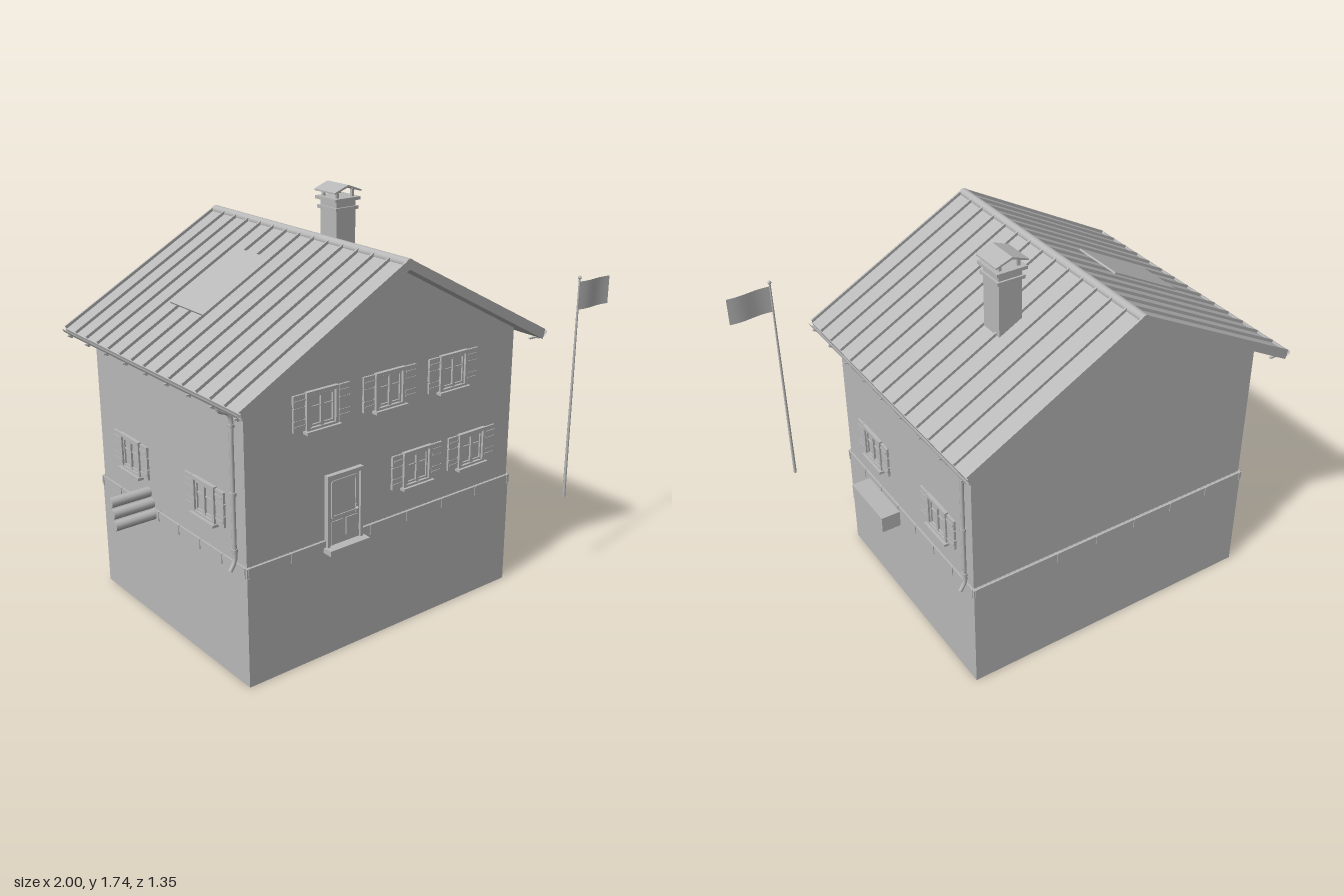
import * as THREE from 'three';

const CX = -0.115, CZ = -0.022;        // house centre
const RIDGE = 1.597, SLOPE = 0.54, HALF = 0.772;
const ANGLE = Math.atan(SLOPE), RAFTER = HALF / Math.cos(ANGLE);
const ROOF_F = 0.622, ROOF_B = -0.675; // roof ends in z

export function createModel() {
  const grey = new THREE.MeshStandardMaterial({ color: 0xb8b8b8, side: THREE.DoubleSide });
  grey.name = 'plain grey';
  const model = new THREE.Group();
  model.name = 'house';

  const add = (parent, name, geo, x = 0, y = 0, z = 0) => {
    const m = new THREE.Mesh(geo, grey);
    m.name = name;
    m.position.set(x, y, z);
    parent.add(m);
    return m;
  };
  const box = (parent, name, w, h, d, x, y, z) => add(parent, name, new THREE.BoxGeometry(w, h, d), x, y, z);
  const group = (parent, name, x = 0, y = 0, z = 0) => {
    const g = new THREE.Group();
    g.name = name;
    g.position.set(x, y, z);
    parent.add(g);
    return g;
  };
  const prism = (parent, name, pts, z0, z1) => {
    const shape = new THREE.Shape(pts.map(p => new THREE.Vector2(p[0], p[1])));
    return add(parent, name, new THREE.ExtrudeGeometry(shape, { depth: z1 - z0, bevelEnabled: false }), 0, 0, z0);
  };

  // Plinth, its flashing band with joints, and the gabled walls
  box(model, 'plinth', 1.396, 0.51, 1.1, CX, 0.255, CZ);
  box(model, 'flashing', 1.402, 0.036, 1.106, CX, 0.495, CZ);
  for (let i = 0; i <= 7; i++) {
    const t = i / 7 - 0.5;
    box(model, 'flashingJoint', 0.006, 0.042, 1.112, CX + t * 1.38, 0.493, CZ);
    box(model, 'flashingJoint', 1.408, 0.042, 0.006, CX, 0.493, CZ + t * 1.08);
  }
  const W = 0.693, apex = RIDGE - 0.025, eave = apex - W * SLOPE;
  prism(model, 'walls', [[CX - W, 0.5], [CX + W, 0.5], [CX + W, eave], [CX, apex], [CX - W, eave]], -0.562, 0.52);

  // Roof slab and ridge cap
  const low = RIDGE - HALF * SLOPE, th = 0.028;
  prism(model, 'roof', [[CX, RIDGE - 0.006], [CX - HALF, low - 0.006], [CX - HALF + 0.01, low - th - 0.006],
    [CX, RIDGE - th - 0.006], [CX + HALF - 0.01, low - th - 0.006], [CX + HALF, low - 0.006]], ROOF_B, ROOF_F);
  const cap = add(model, 'ridgeCap', new THREE.CylinderGeometry(0.02, 0.02, ROOF_F - ROOF_B, 12), CX, RIDGE - 0.012, (ROOF_F + ROOF_B) / 2);
  cap.rotation.x = Math.PI / 2;

  for (const s of [-1, 1]) {
    // Standing seams of the sheet roof
    const slope = group(model, s > 0 ? 'leftRoofSeams' : 'rightRoofSeams', CX, RIDGE, 0);
    slope.rotation.z = -s * ANGLE;
    for (let i = 0; i <= 14; i++) {
      const z = ROOF_F - 0.004 + (ROOF_B - ROOF_F + 0.008) * i / 14;
      box(slope, 'seam', RAFTER, 0.014, 0.008, s * RAFTER / 2, 0, z);
    }
    // Solar panel raised above the slope
    if (s < 0) box(slope, 'solarPanel', 0.37, 0.008, 0.245, -0.393, 0.022, -0.112);

    // Half-round gutter with brackets
    const gx = CX + s * 0.766;
    const gutter = add(model, 'gutter',
      new THREE.CylinderGeometry(0.02, 0.02, ROOF_F - ROOF_B, 12, 1, true, -Math.PI / 2, Math.PI), gx, 1.176, (ROOF_F + ROOF_B) / 2);
    gutter.rotation.x = Math.PI / 2;
    for (let i = 0; i < 9; i++) {
      const z = 0.593 - i * 0.154;
      box(model, 'gutterBracket', 0.07, 0.006, 0.01, gx - s * 0.02, 1.15, z);
      box(model, 'gutterBracket', 0.01, 0.016, 0.01, gx, 1.149, z);
    }

    // Downpipe with collars
    const pz = s > 0 ? -0.52 : 0.465, px = CX + s * 0.709;
    const path = new THREE.CatmullRomCurve3([[gx, 1.16], [gx - s * 0.006, 1.14], [px + s * 0.012, 1.122], [px, 1.1],
      [px, 1.0], [px, 0.6], [px, 0.53], [px + s * 0.022, 0.49]].map(p => new THREE.Vector3(p[0], p[1], pz)), false, 'centripetal');
    add(model, 'downpipe', new THREE.TubeGeometry(path, 48, 0.009, 8));
    for (const y of [1.07, 0.8, 0.57]) add(model, 'pipeCollar', new THREE.CylinderGeometry(0.013, 0.013, 0.014, 8), px, y, pz);
  }

  // Window with sill, two sashes and open board shutters
  const addWindow = (wall, x, y) => {
    const g = group(wall, 'window', x, y, 0);
    for (const s of [-1, 1]) {
      box(g, 'frameSide', 0.014, 0.158, 0.024, s * 0.069, 0, 0.004);
      box(g, 'frameRail', 0.152, 0.014, 0.024, 0, s * 0.072, 0.004);
      box(g, 'sashStile', 0.008, 0.13, 0.014, s * 0.054, 0, 0.003);
      box(g, 'sashRail', 0.112, 0.008, 0.014, 0, s * 0.058, 0.003);
      box(g, 'glazingBar', 0.05, 0.005, 0.012, s * 0.029, 0.015, 0.002);
      // Shutter leaf: three boards and two battens
      const leaf = group(g, 'shutter', s * 0.108, 0.003, 0.006);
      for (const k of [-1, 0, 1]) box(leaf, 'board', 0.054, 0.045, 0.01, 0, k * 0.05, 0);
      box(leaf, 'backing', 0.044, 0.146, 0.006, 0, 0, 0);
      for (const k of [-1, 1]) box(leaf, 'hinge', 0.05, 0.006, 0.014, -s * 0.003, k * 0.05, 0.001);
    }
    box(g, 'mullion', 0.014, 0.13, 0.016, 0, 0, 0.004);
    box(g, 'glass', 0.13, 0.14, 0.004, 0, 0, 0.001);
    box(g, 'sill', 0.166, 0.012, 0.04, 0, -0.08, 0.008);
  };

  // Front wall openings
  const front = group(model, 'frontWall', 0, 0, 0.52);
  for (const x of [-0.457, -0.12, 0.222]) addWindow(front, x, 1.07);
  for (const x of [0.035, 0.345]) addWindow(front, x, 0.7);

  const door = group(front, 'door', -0.35, 0.635, 0);
  box(door, 'doorLeaf', 0.15, 0.29, 0.014, 0, -0.005, 0.004);
  box(door, 'doorHead', 0.18, 0.016, 0.034, 0, 0.144, 0.004);
  for (const s of [-1, 1]) {
    box(door, 'doorJamb', 0.014, 0.305, 0.034, s * 0.083, 0, 0.004);
    box(door, 'lowerPanel', 0.056, 0.075, 0.008, s * 0.036, -0.085, 0.011);
    box(door, 'upperStile', 0.01, 0.15, 0.008, s * 0.06, 0.045, 0.011);
    box(door, 'upperRail', 0.12, 0.01, 0.008, 0, 0.045 + s * 0.075, 0.011);
  }
  box(door, 'handlePlate', 0.008, 0.034, 0.006, 0.056, -0.02, 0.016);
  add(door, 'doorKnob', new THREE.SphereGeometry(0.007, 10, 8), 0.056, -0.018, 0.024);
  box(door, 'doorStep', 0.2, 0.022, 0.06, 0, -0.161, 0.022);

  // Side wall windows
  for (const s of [-1, 1]) {
    const side = group(model, s > 0 ? 'leftWall' : 'rightWall', CX + s * W, 0, 0);
    side.rotation.y = s * Math.PI / 2;
    for (const z of [0.255, -0.302]) addWindow(side, -s * z, 0.7);
  }

  // Planter box under the left wall's window
  box(model, 'planter', 0.086, 0.074, 0.276, 0.652, 0.496, 0.132);

  // Chimney with bands, posts and a little gabled cover
  const chimney = group(model, 'chimney', 0.189, 0, -0.178);
  box(chimney, 'stack', 0.104, 0.29, 0.112, 0, 1.53, 0);
  box(chimney, 'lowerBand', 0.126, 0.014, 0.13, 0, 1.637, 0);
  box(chimney, 'upperBand', 0.138, 0.014, 0.14, 0, 1.677, 0);
  for (const sx of [-1, 1]) {
    for (const sz of [-1, 1]) box(chimney, 'coverPost', 0.012, 0.036, 0.012, sx * 0.042, 1.698, sz * 0.045);
  }
  prism(chimney, 'cover', [[-0.073, 1.706], [0, 1.73], [0.073, 1.706], [0.073, 1.713], [0, 1.74], [-0.073, 1.713]], -0.071, 0.071);

  // Stacked firewood
  const logs = [[0.49, -0.138, -1.0], [0.49, -0.182, -0.99], [0.49, -0.226, -0.96],
    [0.532, -0.16, -0.995], [0.532, -0.204, -0.985], [0.574, -0.182, -0.99]];
  for (const [y, z, x] of logs) {
    const log = add(model, 'firewood', new THREE.CylinderGeometry(0.022, 0.022, -0.8 - x, 12), (x - 0.8) / 2, y, z);
    log.rotation.z = Math.PI / 2;
  }

  // Flagpole with a gently waving flag
  add(model, 'flagpole', new THREE.CylinderGeometry(0.004, 0.007, 1.0, 10), 0.805, 0.89, 0.665);
  add(model, 'poleFinial', new THREE.SphereGeometry(0.008, 10, 8), 0.805, 1.393, 0.665);
  const cloth = new THREE.PlaneGeometry(0.195, 0.122, 12, 1);
  const p = cloth.attributes.position;
  for (let i = 0; i < p.count; i++) {
    const t = (p.getX(i) + 0.0975) / 0.195;
    p.setZ(i, 0.004 * Math.sin(t * Math.PI * 2));
    p.setY(i, p.getY(i) - 0.004 * t);
  }
  cloth.computeVertexNormals();
  add(model, 'flag', cloth, 0.9025, 1.314, 0.665);

  return model;
}
